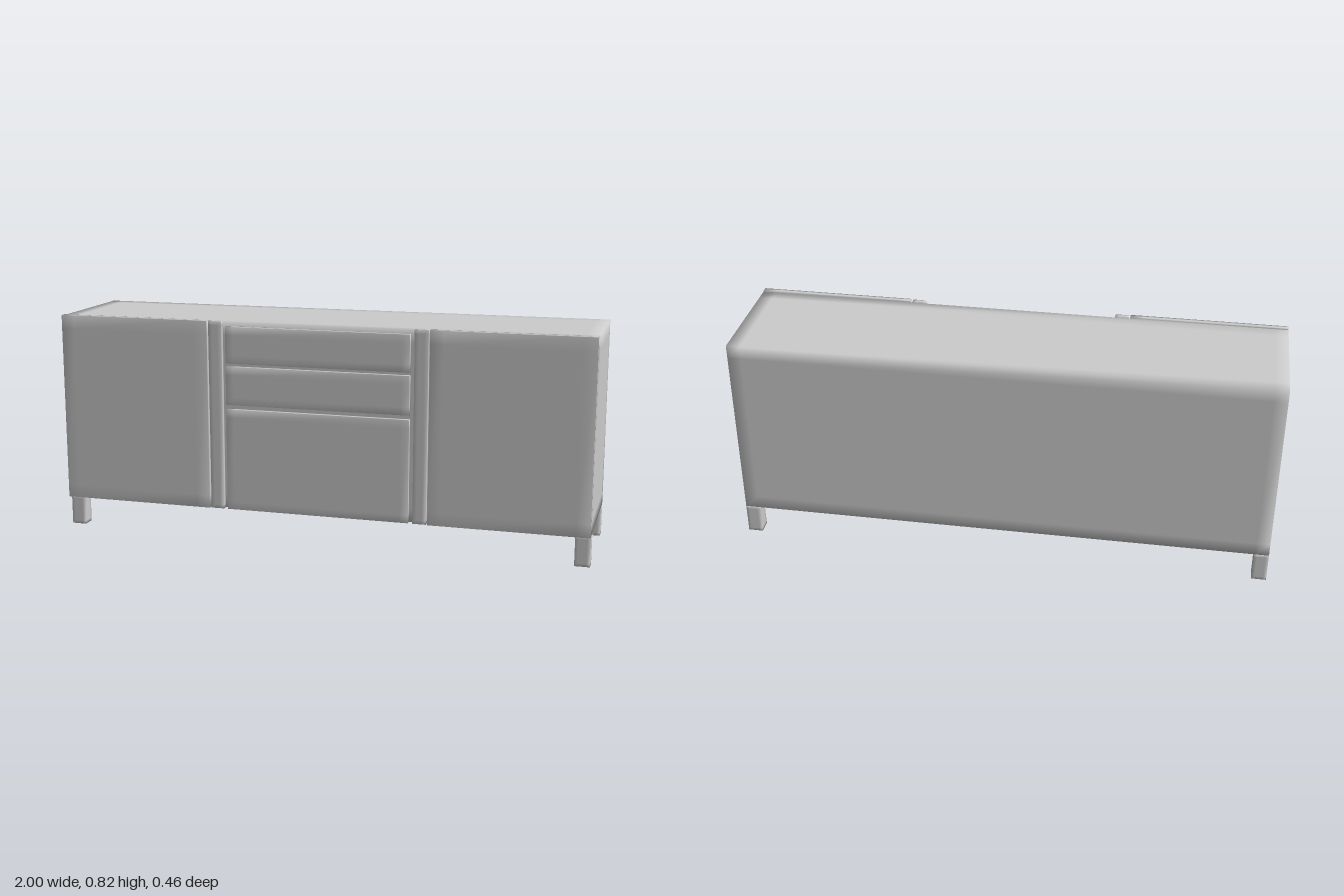
import * as THREE from 'three';
import { mergeVertices } from 'three/addons/utils/BufferGeometryUtils.js';

const material = new THREE.MeshStandardMaterial({ color: 0xcccccc });

// Sharp-edged box whose normals blend softly across a margin along its edges
function softBox(name, [x0, x1], [y0, y1], [z0, z1], margin = 0.05) {
  const size = [x1 - x0, y1 - y0, z1 - z0];
  const geometry = new THREE.BoxGeometry(...size, 3, 3, 3);
  geometry.deleteAttribute('normal');
  geometry.deleteAttribute('uv');
  const p = geometry.attributes.position;
  for (let i = 0; i < p.count; i++) {
    for (let axis = 0; axis < 3; axis++) {
      const v = p.getComponent(i, axis);
      const half = size[axis] / 2;
      // slide the inner loops towards the edges
      if (Math.abs(v) < half * 0.9) {
        p.setComponent(i, axis, Math.sign(v) * (half - Math.min(margin, size[axis] / 3)));
      }
    }
  }
  const merged = mergeVertices(geometry, 1e-4);
  merged.computeVertexNormals();
  const mesh = new THREE.Mesh(merged, material);
  mesh.name = name;
  mesh.position.set((x0 + x1) / 2, (y0 + y1) / 2, (z0 + z1) / 2);
  return mesh;
}

// Span mirrored to the given side
const mirror = (side, a, b) => (side > 0 ? [a, b] : [-b, -a]);

export function createModel() {
  const group = new THREE.Group();
  group.name = 'sideboard';
  const bottom = 0.113, top = 0.822, faceZ = 0.208, frontZ = 0.232;

  // Cabinet body
  group.add(softBox('carcass', [-1, 1], [bottom, top - 0.003], [-frontZ, faceZ]));

  for (const side of [1, -1]) {
    const label = side > 0 ? 'left' : 'right';
    // Door and the narrow upright beside the drawers
    group.add(softBox(label + 'Door', mirror(side, 0.418, 1), [bottom, top], [faceZ, frontZ]));
    group.add(softBox(label + 'Upright', mirror(side, 0.362, 0.412), [bottom, top], [faceZ, frontZ - 0.004], 0.015));

    // Square legs, the front pair set back under the doors
    for (const [place, z] of [['Front', [0.16, 0.21]], ['Back', [-frontZ, -0.18]]]) {
      group.add(softBox(label + place + 'Leg', mirror(side, 0.945, 1), [0, bottom], z, 0.012));
    }
  }

  // Two shallow drawers above one deep drawer
  const drawers = [
    ['topDrawer', 0.667, 0.803],
    ['middleDrawer', 0.512, 0.655],
    ['bottomDrawer', bottom, 0.495],
  ];
  for (const [name, y0, y1] of drawers) {
    group.add(softBox(name, [-0.347, 0.345], [y0, y1], [faceZ, frontZ - 0.004], 0.03));
  }
  return group;
}
